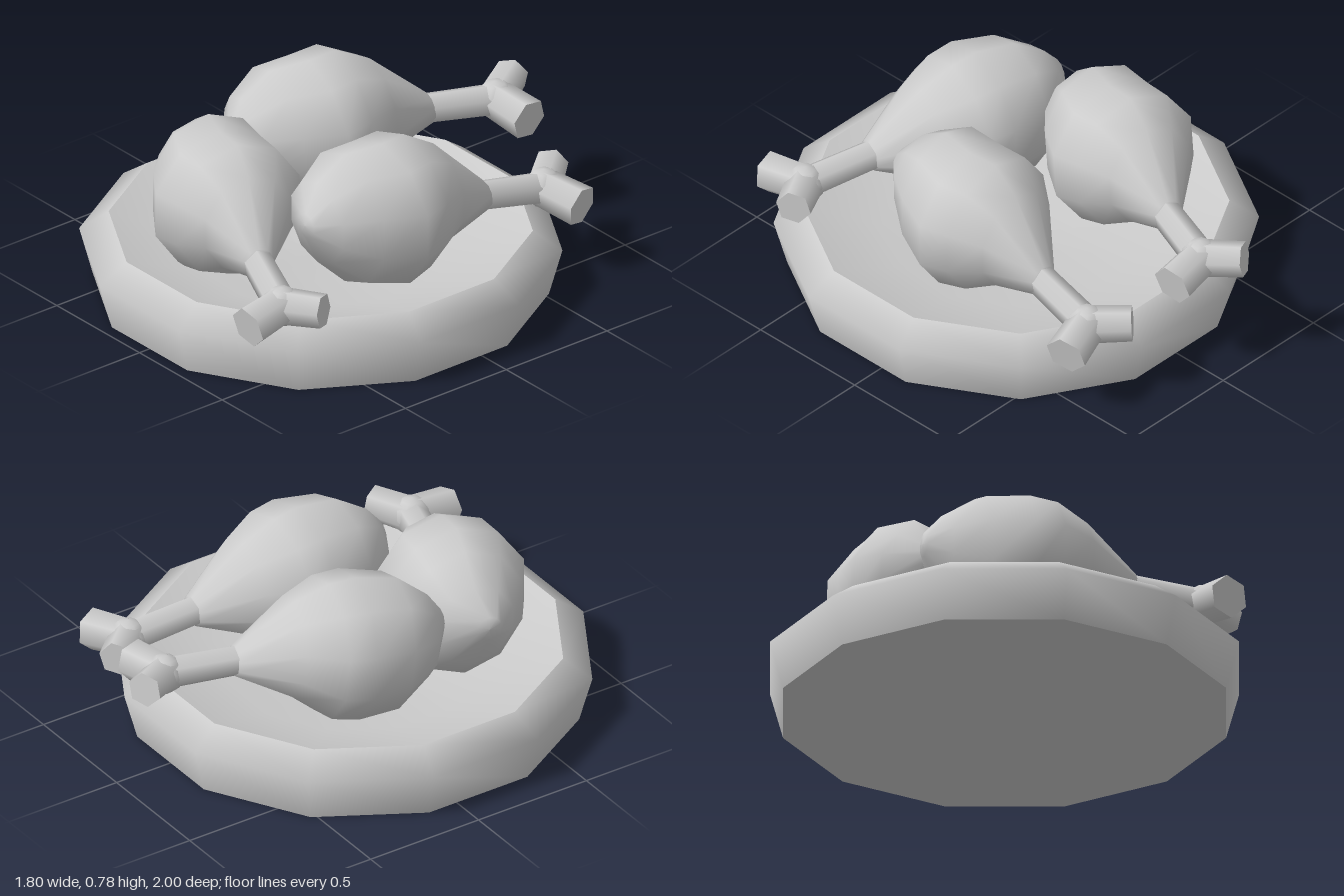
import * as THREE from 'three';

const material = new THREE.MeshStandardMaterial({ color: 0xcccccc });

function part(name, geometry) {
  const mesh = new THREE.Mesh(geometry, material);
  mesh.name = name;
  return mesh;
}

// Twelve-sided surface of revolution; radii are given to the flats.
function turned(profile) {
  const points = profile.map(([r, y]) => new THREE.Vector2(r / Math.cos(Math.PI / 12), y));
  return new THREE.LatheGeometry(points, 12, Math.PI / 12);
}

// Smooth skin over elliptical rings [z, cx, cy, rx, ry], with z increasing.
function loft(rings, sides) {
  const position = [], index = [];
  rings.forEach(([z, cx, cy, rx, ry], i) => {
    for (let j = 0; j < sides; j++) {
      const a = ((j + 0.5) / sides) * Math.PI * 2;
      position.push(cx + rx * Math.cos(a), cy + ry * Math.sin(a), z);
      if (i === rings.length - 1) continue;
      const p = i * sides + j, q = i * sides + ((j + 1) % sides);
      index.push(p, q, p + sides, q, q + sides, p + sides);
    }
  });
  const geometry = new THREE.BufferGeometry();
  geometry.setAttribute('position', new THREE.Float32BufferAttribute(position, 3));
  geometry.setIndex(index);
  geometry.computeVertexNormals();
  return geometry;
}

// Six-sided bar from a to b with its own radius at each end.
function bar(name, a, b, ra, rb) {
  const from = new THREE.Vector3(...a), to = new THREE.Vector3(...b);
  const axis = to.clone().sub(from);
  const mesh = part(name, new THREE.CylinderGeometry(rb, ra, axis.length(), 6));
  mesh.position.copy(from).add(to).multiplyScalar(0.5);
  mesh.quaternion.setFromUnitVectors(new THREE.Vector3(0, 1, 0), axis.normalize());
  return mesh;
}

// Drumstick with its origin at the neck, the bone pointing to -z.
function drumstick(name) {
  const group = new THREE.Group();
  group.name = name;
  group.add(part('meat', loft([
    [0, 0, 0, 0, 0],
    [0, -0.01, 0, 0.062, 0.062],
    [0.2, -0.065, 0.065, 0.195, 0.2],
    [0.33, -0.085, 0.06, 0.28, 0.28],
    [0.45, -0.07, 0.05, 0.292, 0.295],
    [0.61, -0.1, 0.065, 0.25, 0.275],
    [0.74, -0.11, 0.085, 0.165, 0.17],
    [0.82, -0.08, 0.11, 0.05, 0.05],
    [0.825, -0.08, 0.11, 0, 0],
  ], 10)));
  const joint = [0.03, -0.045, -0.27];
  group.add(bar('bone', [-0.01, 0, 0.02], joint, 0.062, 0.066));
  group.add(bar('leftKnuckle', joint, [-0.085, -0.035, -0.4], 0.075, 0.07));
  group.add(bar('rightKnuckle', joint, [0.2, -0.075, -0.32], 0.078, 0.084));
  const core = part('knuckleCore', new THREE.SphereGeometry(0.08, 8, 6));
  core.position.set(...joint);
  group.add(core);
  return group;
}

export function createModel() {
  const model = new THREE.Group();
  model.name = 'drumstickDish';

  // Dish: rounded outer wall, hollow inside, flat base
  const dish = new THREE.Group();
  dish.name = 'dish';
  dish.position.z = 0.1;
  dish.add(part('dishWall', turned([[0.85, 0], [0.9, 0.19], [0.79, 0.27]])));
  dish.add(part('dishInside', turned([[0.79, 0.27], [0.5, 0.17], [0, 0.13]])));
  const base = part('dishBase', new THREE.CircleGeometry(0.85 / Math.cos(Math.PI / 12), 12, Math.PI / 12));
  base.rotation.x = Math.PI / 2;
  dish.add(base);
  model.add(dish);

  // Three drumsticks: neck position, heading and pitch
  const placements = [
    ['rightDrumstick', [-0.145, 0.48, -0.56], -0.2, 0.11],
    ['leftDrumstick', [0.38, 0.37, -0.4], 0, 0],
    ['frontDrumstick', [0.265, 0.37, 0.635], -1.79, 0],
  ];
  for (const [name, position, heading, pitch] of placements) {
    const stick = drumstick(name);
    stick.position.set(...position);
    stick.rotation.set(pitch, heading, 0, 'YXZ');
    model.add(stick);
  }
  return model;
}
